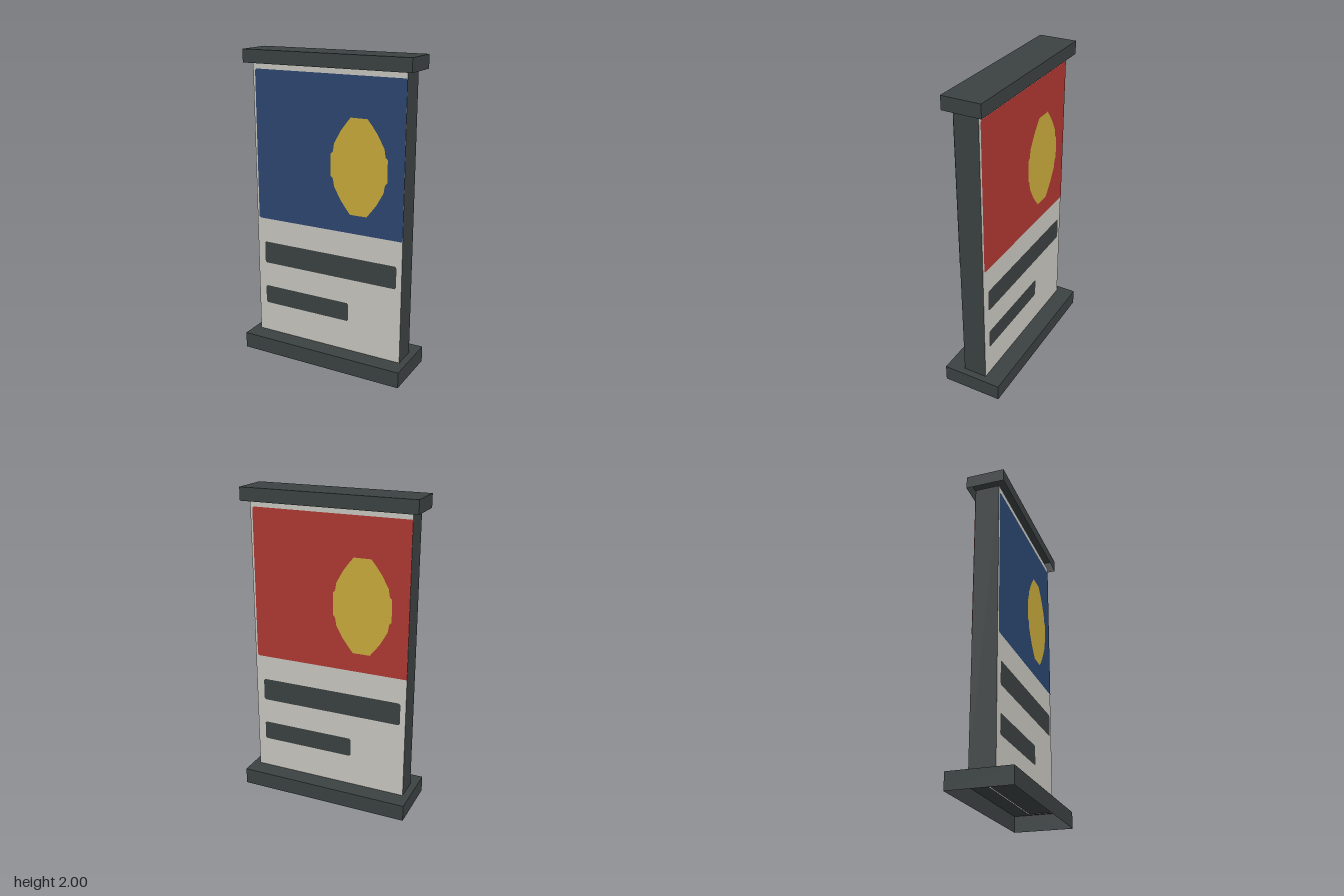
import * as THREE from 'three';

const mat = (name, color) => {
  const m = new THREE.MeshStandardMaterial({ color, side: THREE.DoubleSide });
  m.name = name;
  return m;
};

// Box between two heights, keeping only some faces (0 +x, 1 -x, 2 +y, 3 -y, 4 +z, 5 -z)
function shell(name, w, d, y0, y1, faces, material) {
  const geo = new THREE.BoxGeometry(w, y1 - y0, d);
  const index = Array.from(geo.index.array);
  geo.setIndex(faces.flatMap((f) => index.slice(f * 6, f * 6 + 6)));
  geo.clearGroups();
  geo.translate(0, (y0 + y1) / 2, 0);
  const mesh = new THREE.Mesh(geo, material);
  mesh.name = name;
  return mesh;
}

// Flat printed shape from outline points, at depth z
function print(name, points, z, material) {
  const shape = new THREE.Shape(points.map(([x, y]) => new THREE.Vector2(x, y)));
  const mesh = new THREE.Mesh(new THREE.ShapeGeometry(shape), material);
  mesh.position.z = z;
  mesh.name = name;
  return mesh;
}

// Rectangle with clipped corners on the left (cl) and right (cr)
const clipped = (x0, x1, y0, y1, cl, cr) => [
  [x0 + cl, y0], [x1 - cr, y0], [x1, y0 + cr], [x1, y1 - cr],
  [x1 - cr, y1], [x0 + cl, y1], [x0, y1 - cl], [x0, y0 + cl],
].filter((p, i, a) => i === 0 || p[0] !== a[i - 1][0] || p[1] !== a[i - 1][1]);

// Faceted oval from one quarter, mirrored both ways
function oval(cx, cy) {
  const q = [[0.19, 0.07], [0.175, 0.085], [0.167, 0.135], [0.122, 0.215], [0.09, 0.258], [0.056, 0.3]];
  const top = [...q, ...q.map(([x, y]) => [-x, y]).reverse()];
  return [...top, ...top.map(([x, y]) => [-x, -y])].map(([x, y]) => [cx + x, cy + y]);
}

export function createModel() {
  const dark = mat('darkMetal', 0x3b4141);
  const light = mat('paleGrey', 0xc9c7c0);
  const blue = mat('posterBlue', 0x2c4670);
  const red = mat('posterRed', 0xaf3832);
  const yellow = mat('ovalYellow', 0xc9ab3b);

  const model = new THREE.Group();
  model.name = 'advertisingPillar';

  // Hollow foot and cap, open underneath
  const openBelow = [0, 1, 2, 4, 5];
  model.add(shell('foot', 1.13, 0.39, 0, 0.105, openBelow, dark));
  model.add(shell('cap', 1.13, 0.245, 1.917, 2, openBelow, dark));

  // Body: dark sides, pale display faces
  model.add(shell('bodySides', 1.04, 0.156, 0.097, 1.92, [0, 1], dark));
  model.add(shell('displayFaces', 1.04, 0.156, 0.097, 1.92, [4, 5], light));

  // Printed posters, the back one turned half round
  [['frontPoster', blue, 0], ['backPoster', red, Math.PI]].forEach(([name, colour, turn]) => {
    const poster = new THREE.Group();
    poster.name = name;
    poster.add(print('picture', clipped(-0.505, 0.52, 0.91, 1.88, 0.01, 0), 0.08, colour));
    poster.add(print('oval', oval(0.222, 1.331), 0.082, yellow));
    poster.add(print('longBar', clipped(-0.467, 0.485, 0.6, 0.748, 0.01, 0.01), 0.08, dark));
    poster.add(print('shortBar', clipped(-0.467, 0.157, 0.31, 0.435, 0.01, 0.01), 0.08, dark));
    poster.rotation.y = turn;
    model.add(poster);
  });

  return model;
}
